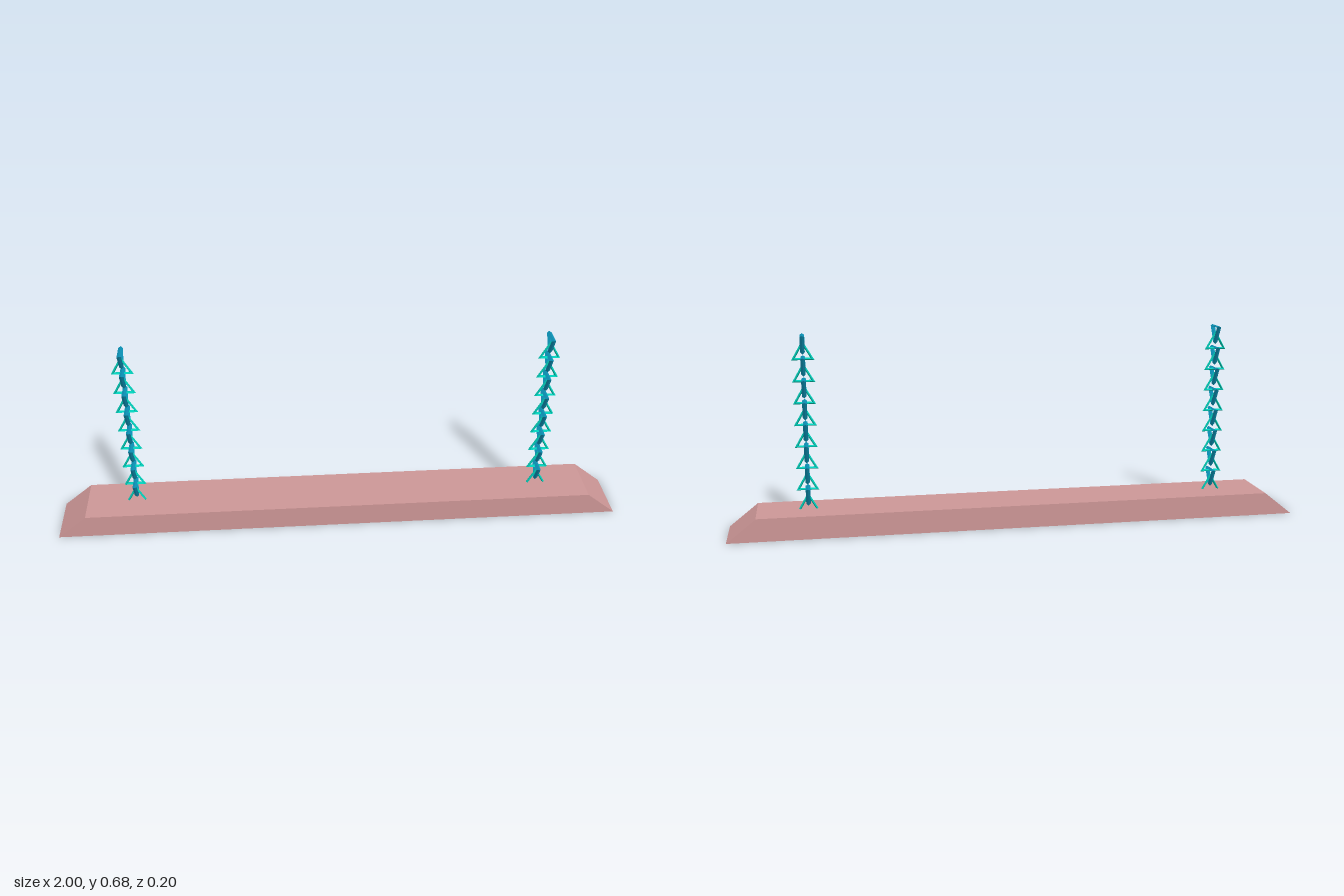
import * as THREE from 'three';

const LINKS = 8, PITCH = 0.075;

export function createModel() {
  const pink = new THREE.MeshStandardMaterial({ color: 0xcc9696 });
  pink.name = 'dusty pink';
  const teal = new THREE.MeshStandardMaterial({ color: 0x00cdb8 });
  teal.name = 'teal';
  const blue = new THREE.MeshStandardMaterial({ color: 0x0a90b4 });
  blue.name = 'blue';

  const model = new THREE.Group();
  model.name = 'swingSeat';

  // Seat plank: a trapezoid with sloped ends
  const profile = new THREE.Shape([[-1, 0], [1, 0], [0.9, 0.08], [-0.9, 0.08]]
    .map(([x, y]) => new THREE.Vector2(x, y)));
  const seatGeo = new THREE.ExtrudeGeometry(profile, { depth: 0.2, bevelEnabled: false });
  seatGeo.translate(0, 0, -0.1);
  const seat = new THREE.Mesh(seatGeo, pink);
  seat.name = 'seat';
  model.add(seat);

  // Triangular link with a diamond section; flat facets
  const ring = new THREE.TorusGeometry(0.0368, 0.0078, 4, 3).toNonIndexed();
  ring.computeVertexNormals();
  const uprightGeo = ring.clone().rotateZ(Math.PI / 2);
  const hangingGeo = ring.clone().rotateZ(-Math.PI / 2).rotateY(Math.PI / 2);

  // Two chains of alternating links, each turned a quarter from the next
  for (const side of [-1, 1]) {
    const chain = new THREE.Group();
    chain.name = side > 0 ? 'leftChain' : 'rightChain';
    chain.position.x = side * 0.725;
    for (let i = 0; i < LINKS; i++) {
      const upright = new THREE.Mesh(uprightGeo, teal);
      upright.name = 'uprightLink';
      upright.position.y = 0.093 + i * PITCH;
      const hanging = new THREE.Mesh(hangingGeo, blue);
      hanging.name = 'hangingLink';
      hanging.position.y = 0.134 + i * PITCH;
      chain.add(upright, hanging);
    }
    model.add(chain);
  }
  return model;
}
